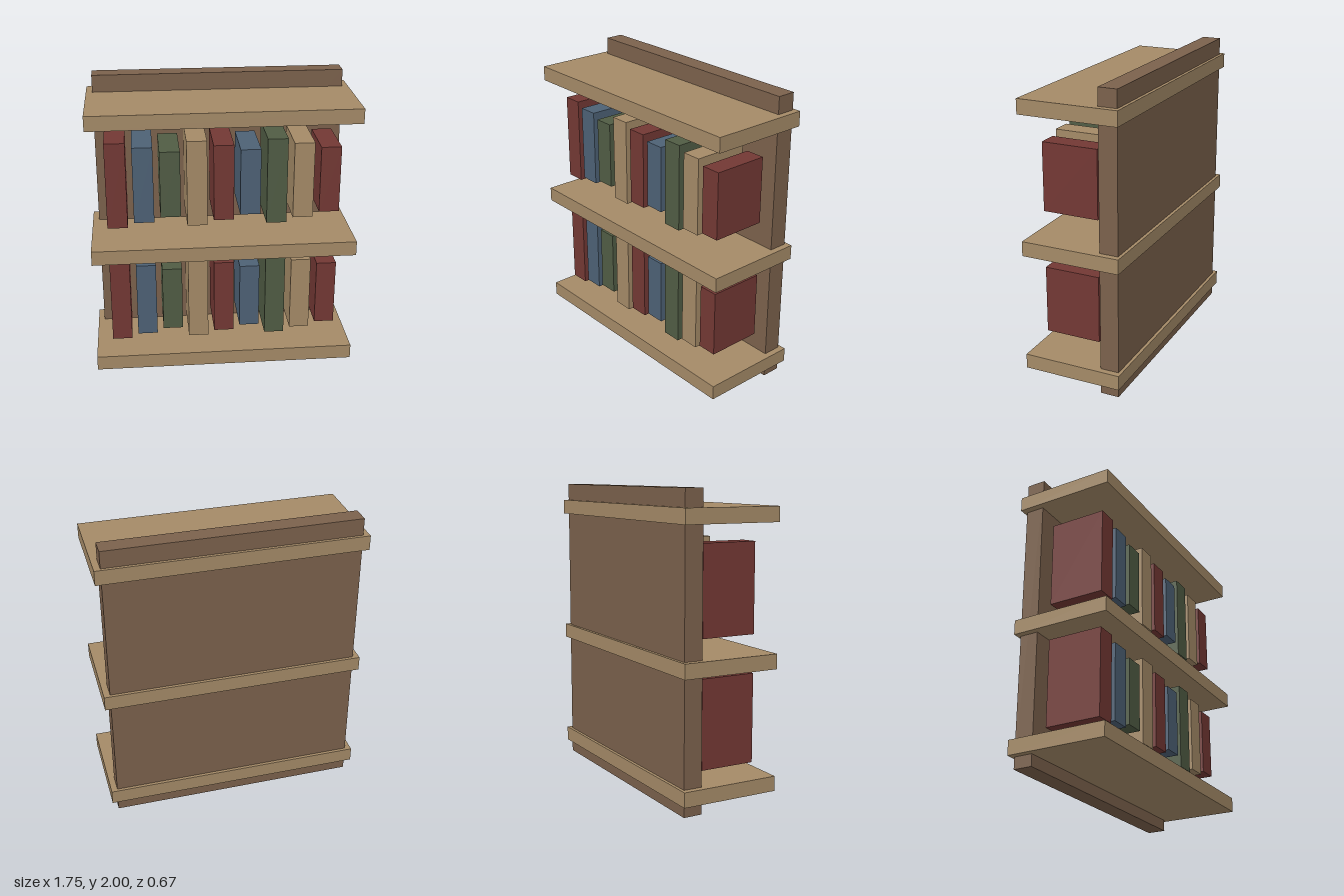
import * as THREE from 'three';

const makeMaterial = (name, color) => {
  const m = new THREE.MeshStandardMaterial({ color });
  m.name = name;
  return m;
};

export function createModel() {
  const model = new THREE.Group();
  model.name = 'bookcase';

  const darkWood = makeMaterial('dark wood', 0x7b614c);
  const lightWood = makeMaterial('light wood', 0xa48a67);
  const red = makeMaterial('red cover', 0x733834);
  const blue = makeMaterial('blue cover', 0x4d6175);
  const green = makeMaterial('green cover', 0x505c44);

  const addBox = (parent, name, material, size, position) => {
    const mesh = new THREE.Mesh(new THREE.BoxGeometry(...size), material);
    mesh.name = name;
    mesh.position.set(...position);
    parent.add(mesh);
  };

  // Upright back panel
  addBox(model, 'backPanel', darkWood, [1.667, 2, 0.125], [0, 1, -0.25]);

  // Three shelves passing through the panel
  [0.127, 0.921, 1.837].forEach((y, i) =>
    addBox(model, `shelf${i + 1}`, lightWood, [1.75, 0.098, 0.667], [0, y, 0]));

  // Two rows of books, cycling through colours and heights
  const covers = [red, blue, green, lightWood];
  const heights = [0.583, 0.517, 0.45];
  [['lowerBooks', 0.546], ['upperBooks', 1.378]].forEach(([rowName, y]) => {
    const row = new THREE.Group();
    row.name = rowName;
    for (let i = 0; i < 9; i++) {
      addBox(row, `book${i + 1}`, covers[i % 4],
        [0.133, heights[i % 3], 0.375], [(i - 4) * 0.1745, y, 0.0435]);
    }
    model.add(row);
  });

  return model;
}
